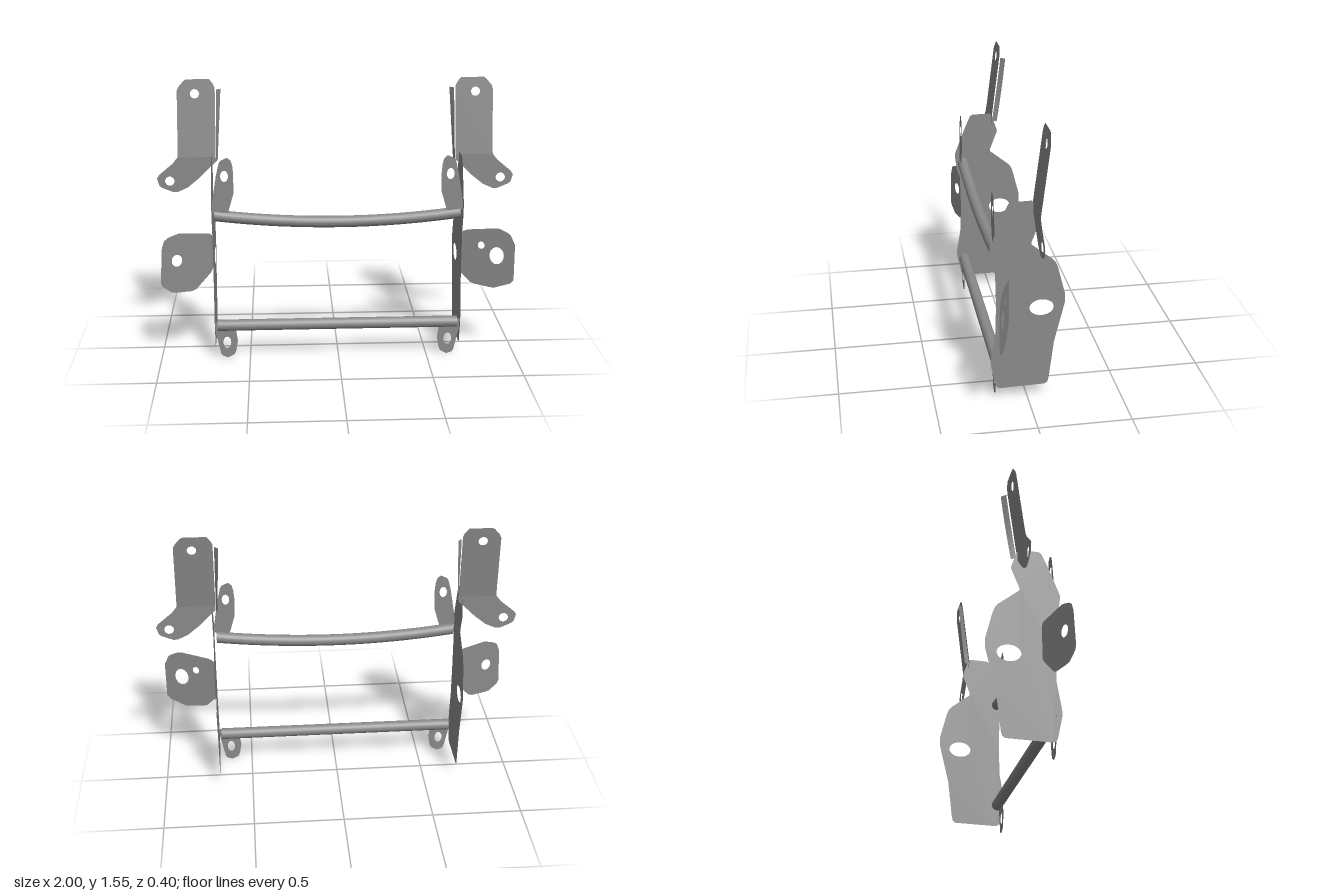
import * as THREE from 'three';

const steel = new THREE.MeshStandardMaterial({ color: 0x8a8a8a, side: THREE.DoubleSide });
steel.name = 'steel grey';

// Flat sheet with elliptical holes [x, y, rx, ry]; place(u, v) puts each point in space.
function sheet(name, outline, holes, place) {
  const shape = new THREE.Shape(outline.map(([u, v]) => new THREE.Vector2(u, v)));
  for (const [x, y, rx, ry] of holes) {
    const hole = new THREE.Path();
    hole.absellipse(x, y, rx, ry, 0, Math.PI * 2, true);
    shape.holes.push(hole);
  }
  const geo = new THREE.ShapeGeometry(shape, 16);
  const pos = geo.attributes.position;
  for (let i = 0; i < pos.count; i++) pos.setXYZ(i, ...place(pos.getX(i), pos.getY(i)));
  geo.computeVertexNormals();
  const mesh = new THREE.Mesh(geo, steel);
  mesh.name = name;
  return mesh;
}

// Capped round bar along x, sagging by a parabola.
function crossBar(name, yEnd, sag) {
  const geo = new THREE.CylinderGeometry(0.032, 0.032, 1.355, 24, 24).rotateZ(Math.PI / 2);
  const pos = geo.attributes.position;
  for (let i = 0; i < pos.count; i++) {
    const t = pos.getX(i) / 0.6775;
    pos.setY(i, pos.getY(i) + yEnd - sag * (1 - t * t));
  }
  geo.translate(0, 0, 0.153);
  geo.computeVertexNormals();
  const mesh = new THREE.Mesh(geo, steel);
  mesh.name = name;
  return mesh;
}

// Curved lip running up the inner edge of an upper bracket.
function bracketLip(s) {
  const verts = [], index = [], rows = 8;
  for (let i = 0; i <= rows; i++) {
    const t = i / rows, bow = 0.006 * t * (1 - t);
    verts.push(s * (0.668 - 0.008 * t), 1.105 + 0.395 * t, -0.026 - 0.051 * t - bow);
    verts.push(s * (0.661 - 0.024 * t), 1.105 + 0.395 * t, -0.054 - 0.048 * t - bow * 2);
    if (i < rows) index.push(2 * i, 2 * i + 1, 2 * i + 2, 2 * i + 1, 2 * i + 3, 2 * i + 2);
  }
  const geo = new THREE.BufferGeometry();
  geo.setAttribute('position', new THREE.Float32BufferAttribute(verts, 3));
  geo.setIndex(index);
  geo.computeVertexNormals();
  const mesh = new THREE.Mesh(geo, steel);
  mesh.name = 'bracketLip';
  return mesh;
}

// Side plate profile as (z, y)
const plate = [
  [0.09, 1.145], [0.105, 1.135], [0.13, 1.08], [0.2, 0.9], [0.199, 0.87], [0.19, 0.8], [0.172, 0.745],
  [0.168, 0.57], [0.172, 0.4], [0.197, 0.25], [0.197, 0.215], [0.172, 0.095], [0.163, 0.078], [0.145, 0.072],
  [-0.095, 0.077], [-0.11, 0.088], [-0.116, 0.11], [-0.142, 0.33], [-0.197, 0.56], [-0.197, 0.61],
  [-0.157, 0.765], [-0.145, 0.795], [-0.128, 0.815], [-0.016, 0.905], [-0.017, 0.92], [-0.06, 1.03],
  [-0.058, 1.045], [-0.027, 1.135], [-0.015, 1.147],
];

const upperTab = [
  [0.69, 0.87], [0.69, 0.91], [0.663, 1.07], [0.645, 1.145], [0.635, 1.158], [0.6, 1.174],
  [0.58, 1.157], [0.572, 1.125], [0.568, 1.08], [0.57, 0.97], [0.598, 0.875], [0.605, 0.855], [0.67, 0.855],
];
const lowerTab = [
  [0.692, 0.22], [0.688, 0.16], [0.66, 0.03], [0.65, 0.018], [0.62, 0.008], [0.585, 0.028],
  [0.575, 0.05], [0.565, 0.11], [0.575, 0.18], [0.58, 0.22],
];

// Upper bracket: foot below the bend, leaning post above it
const bend = 1.13;
const bracketFoot = [
  [0.67, bend], [0.882, bend], [0.91, 1.095], [0.988, 1.03], [1.0, 1.01], [0.988, 0.968], [0.975, 0.957],
  [0.91, 0.93], [0.885, 0.932], [0.83, 0.957], [0.765, 1.01], [0.7, 1.075], [0.67, 1.102],
];
const bracketPost = [
  [0.67, bend], [0.667, 1.51], [0.678, 1.535], [0.698, 1.558], [0.825, 1.558], [0.838, 1.55],
  [0.868, 1.515], [0.876, 1.495], [0.88, 1.15], [0.882, bend],
];

// Outer mounting wings, different on each side
const wings = {
  1: {
    outline: [[0.694, 0.705], [0.705, 0.718], [0.73, 0.73], [0.885, 0.75], [0.905, 0.747], [0.95, 0.725],
      [0.962, 0.712], [0.985, 0.66], [0.985, 0.455], [0.968, 0.432], [0.88, 0.398], [0.86, 0.4],
      [0.77, 0.413], [0.75, 0.422], [0.694, 0.48]],
    holes: [[0.89, 0.59, 0.038, 0.05], [0.806, 0.644, 0.018, 0.021]],
  },
  '-1': {
    outline: [[0.694, 0.705], [0.7, 0.72], [0.715, 0.727], [0.87, 0.747], [0.89, 0.742], [0.935, 0.727],
      [0.955, 0.71], [0.968, 0.67], [0.981, 0.47], [0.971, 0.447], [0.925, 0.408], [0.9, 0.403],
      [0.815, 0.401], [0.79, 0.41], [0.71, 0.495], [0.694, 0.525]],
    holes: [[0.89, 0.59, 0.028, 0.034]],
  },
};

export function createModel() {
  const model = new THREE.Group();
  model.name = 'mountingFrame';

  for (const s of [1, -1]) {
    const side = new THREE.Group();
    side.name = s > 0 ? 'leftSide' : 'rightSide';
    side.add(
      sheet('sidePlate', plate, [[-0.073, 0.54, 0.064, 0.046]], (z, y) => [s * 0.691, y, z]),
      sheet('upperTab', upperTab, [[0.618, 1.07, 0.021, 0.031]], (x, y) => [s * x, y, 0.172]),
      sheet('lowerTab', lowerTab, [[0.625, 0.1, 0.022, 0.034]], (x, y) => [s * x, y, 0.168]),
      sheet('bracketFoot', bracketFoot, [[0.929, 0.995, 0.026, 0.026]], (x, y) => [s * x, y, -0.025]),
      sheet('bracketPost', bracketPost, [[0.779, 1.479, 0.025, 0.025]],
        (x, y) => [s * x, y, -0.025 - (y - bend) * 0.125]),
      bracketLip(s),
      sheet('mountingWing', wings[s].outline, wings[s].holes,
        (x, y) => [s * x, y, 0.1 + (x - 0.694) * 0.335]),
    );
    model.add(side);
  }

  model.add(crossBar('upperBar', 0.845, 0.045), crossBar('lowerBar', 0.198, 0));
  model.children.forEach((part) => { part.position.x = -0.004; });
  return model;
}
